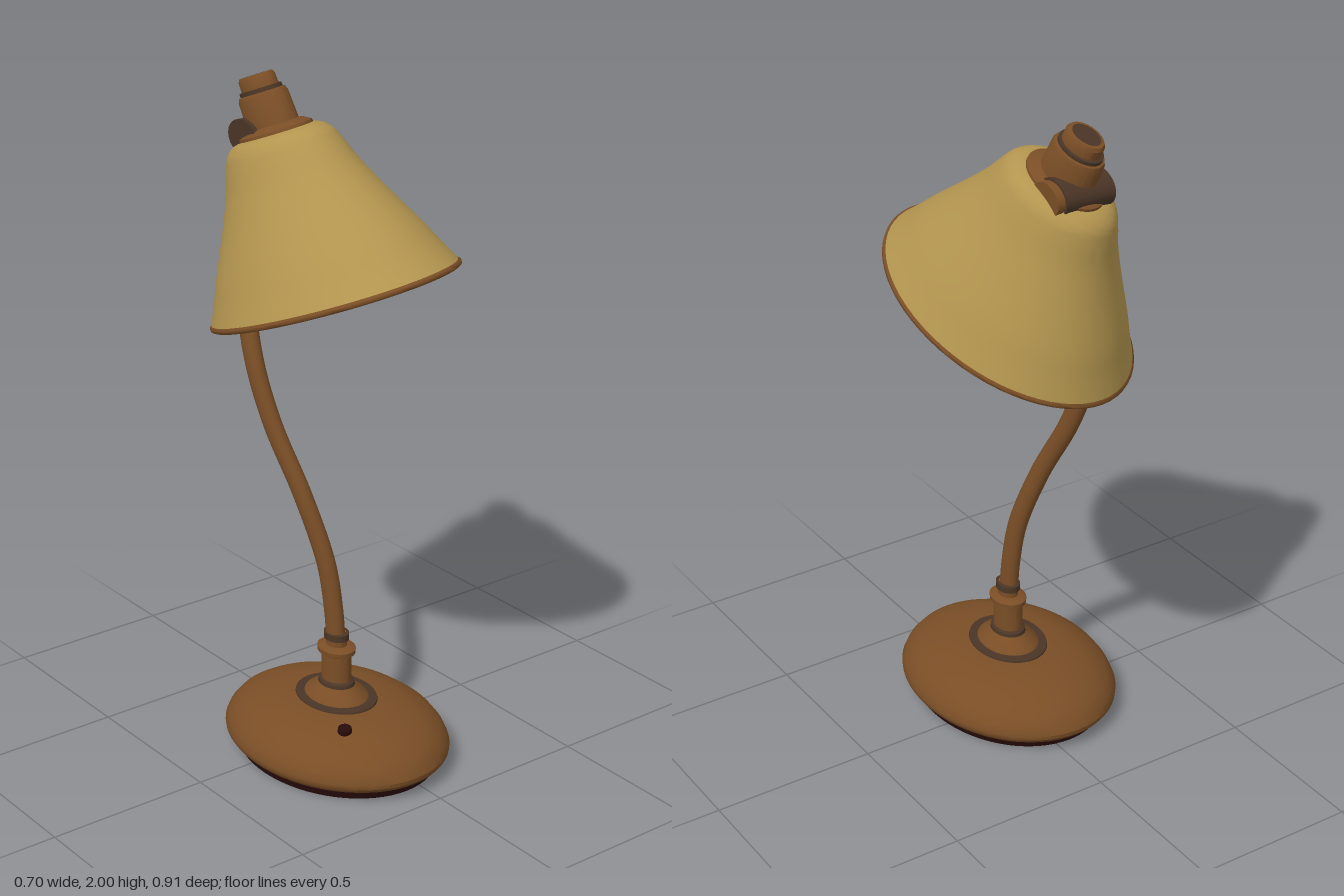
import * as THREE from 'three';
import { toCreasedNormals } from 'three/addons/utils/BufferGeometryUtils.js';

const mat = (name, color, side = THREE.FrontSide) => {
  const m = new THREE.MeshStandardMaterial({ color, side });
  m.name = name;
  return m;
};

export function createModel() {
  const brown = mat('bronze brown', 0x7a4e26);
  const dark = mat('dark bronze', 0x4a3526);
  const brass = mat('antique brass', 0xb3954f);
  const cream = mat('cream lining', 0xd6c298);
  const black = mat('dark felt', 0x260b09);
  const glass = mat('bulb glass', 0xa68d5a);

  const model = new THREE.Group();
  const add = (parent, name, geometry, material) => {
    const mesh = new THREE.Mesh(geometry, material);
    mesh.name = name;
    parent.add(mesh);
    return mesh;
  };
  const group = (name) => {
    const g = new THREE.Group();
    g.name = name;
    model.add(g);
    return g;
  };
  const points = (list) => list.map(([r, y]) => new THREE.Vector2(r, y));

  // Turned part, placed by an affine frame, with sharp edges kept
  const turn = (list, frame, crease = 0.55) => {
    const g = new THREE.LatheGeometry(points(list), 64);
    g.applyMatrix4(frame);
    return toCreasedNormals(g, crease);
  };

  // The foot is an oval, longer from front to back
  const footFrame = new THREE.Matrix4().makeScale(1, 1, 1.26).setPosition(-0.047, 0, 0.067);
  const foot = group('foot');
  add(foot, 'footPad', turn([[0, 0], [0.27, 0], [0.278, 0.025], [0.278, 0.035]], footFrame), black);
  add(foot, 'footDome', turn([
    [0.275, 0.025], [0.295, 0.036], [0.304, 0.05], [0.305, 0.062], [0.296, 0.085], [0.278, 0.11],
    [0.25, 0.131], [0.22, 0.148], [0.185, 0.161], [0.15, 0.17], [0.1, 0.175], [0, 0.175],
  ], footFrame), brown);
  add(foot, 'collarRing', turn([[0.112, 0.17], [0.11, 0.179], [0.08, 0.181]], footFrame), dark);
  add(foot, 'collarCone', turn([[0.088, 0.178], [0.083, 0.188], [0.06, 0.206], [0.05, 0.218]], footFrame), brown);
  add(foot, 'collarBand', turn([[0.05, 0.212], [0.048, 0.228], [0.04, 0.234]], footFrame), dark);
  add(foot, 'collarPost', turn([
    [0.041, 0.23], [0.041, 0.315], [0.051, 0.322], [0.052, 0.336], [0.04, 0.342], [0.028, 0.344], [0.028, 0.365],
  ], footFrame), brown);
  add(foot, 'stemRing', turn([[0.026, 0.362], [0.034, 0.364], [0.034, 0.384], [0.024, 0.386]], footFrame), dark);

  // Switch button on the dome
  const button = add(foot, 'switchButton', new THREE.CylinderGeometry(0.02, 0.022, 0.02, 24), black);
  button.position.set(-0.155, 0.164, 0.247);
  button.rotation.set(0.14, 0, 0.12);

  // Curved stem, bent in both directions
  const path = new THREE.CatmullRomCurve3([
    [-0.05, 0.36, 0.067], [-0.052, 0.45, 0.06], [-0.062, 0.6, 0.036], [-0.093, 0.8, -0.035],
    [-0.126, 1.0, -0.135], [-0.14, 1.17, -0.2], [-0.132, 1.33, -0.248], [-0.105, 1.5, -0.28],
    [-0.065, 1.66, -0.3], [-0.02, 1.81, -0.305],
  ].map(([x, y, z]) => new THREE.Vector3(x, y, z / 1.26)));
  const stem = new THREE.TubeGeometry(path, 80, 0.026, 20);
  stem.scale(1, 1, 1.26);
  add(model, 'stem', stem, brown);

  // Tilted oval frame shared by everything on the lamp head
  const headFrame = new THREE.Matrix4().makeBasis(
    new THREE.Vector3(0.32, 0.035, -0.01),
    new THREE.Vector3(-0.035, 0.43, -0.22),
    new THREE.Vector3(0.01, 0.1525, 0.41),
  ).setPosition(0.025, 1.39, -0.04);
  const head = group('lampHead');

  // Shade: outer shell, lining and rim
  const shadeCurve = new THREE.SplineCurve(points([
    [1, 0], [0.91, 0.14], [0.82, 0.29], [0.655, 0.54], [0.54, 0.73], [0.468, 0.88], [0.42, 0.96], [0.34, 1.008], [0.2, 1.03],
  ])).getPoints(40).map((p) => [p.x, p.y]);
  add(head, 'shade', turn(shadeCurve, headFrame, 1), brass);
  const lining = shadeCurve.map(([r, t]) => [r - 0.025, t * 0.97]).reverse();
  add(head, 'shadeLining', turn([[0, lining[0][1]], ...lining], headFrame, 1), cream);
  add(head, 'shadeRim', turn([
    [0.985, 0.022], [0.968, 0.01], [0.968, -0.008], [0.985, -0.016], [1.003, -0.008], [1.004, 0.01], [0.985, 0.022],
  ], headFrame, 1.2), brown);

  // Bulb and its holder inside the shade
  const bulb = [];
  for (let i = 0; i <= 16; i++) {
    const a = -Math.PI / 2 + (i / 16) * Math.PI * 0.85;
    bulb.push([Math.max(0, 0.21 * Math.cos(a)), 0.46 + 0.18 * Math.sin(a)]);
  }
  bulb.push([0.1, 0.75]);
  add(head, 'bulb', turn(bulb, headFrame, 1), glass);
  add(head, 'bulbHolder', turn([[0, 0.72], [0.13, 0.72], [0.13, 1]], headFrame), brown);

  // Socket above the shade
  add(head, 'socketSkirt', turn([[0.3, 0.99], [0.295, 1.035], [0.24, 1.06], [0.19, 1.07]], headFrame), brown);
  add(head, 'socketBody', turn([[0.205, 1.05], [0.198, 1.24], [0.185, 1.265], [0.15, 1.275]], headFrame), brown);
  add(head, 'socketBand', turn([[0.17, 1.265], [0.168, 1.292], [0.14, 1.297]], headFrame), dark);
  add(head, 'socketCap', turn([[0.148, 1.29], [0.146, 1.355], [0.132, 1.375], [0.108, 1.378]], headFrame), brown);
  add(head, 'socketCapTop', turn([[0.112, 1.376], [0, 1.376]], headFrame), dark);

  // Swivel joint behind the socket
  const joint = group('swivelJoint');
  joint.position.set(0, 1.815, -0.315);
  const barrel = (name, radius, x0, x1, material) => {
    const g = new THREE.CylinderGeometry(radius, radius, x1 - x0, 32);
    g.rotateZ(Math.PI / 2);
    g.scale(1, 0.9, 1.2);
    add(joint, name, g, material).position.x = (x0 + x1) / 2;
  };
  barrel('jointBarrel', 0.057, -0.093, 0.064, dark);
  barrel('jointKnob', 0.051, 0.064, 0.087, brown);

  return model;
}
